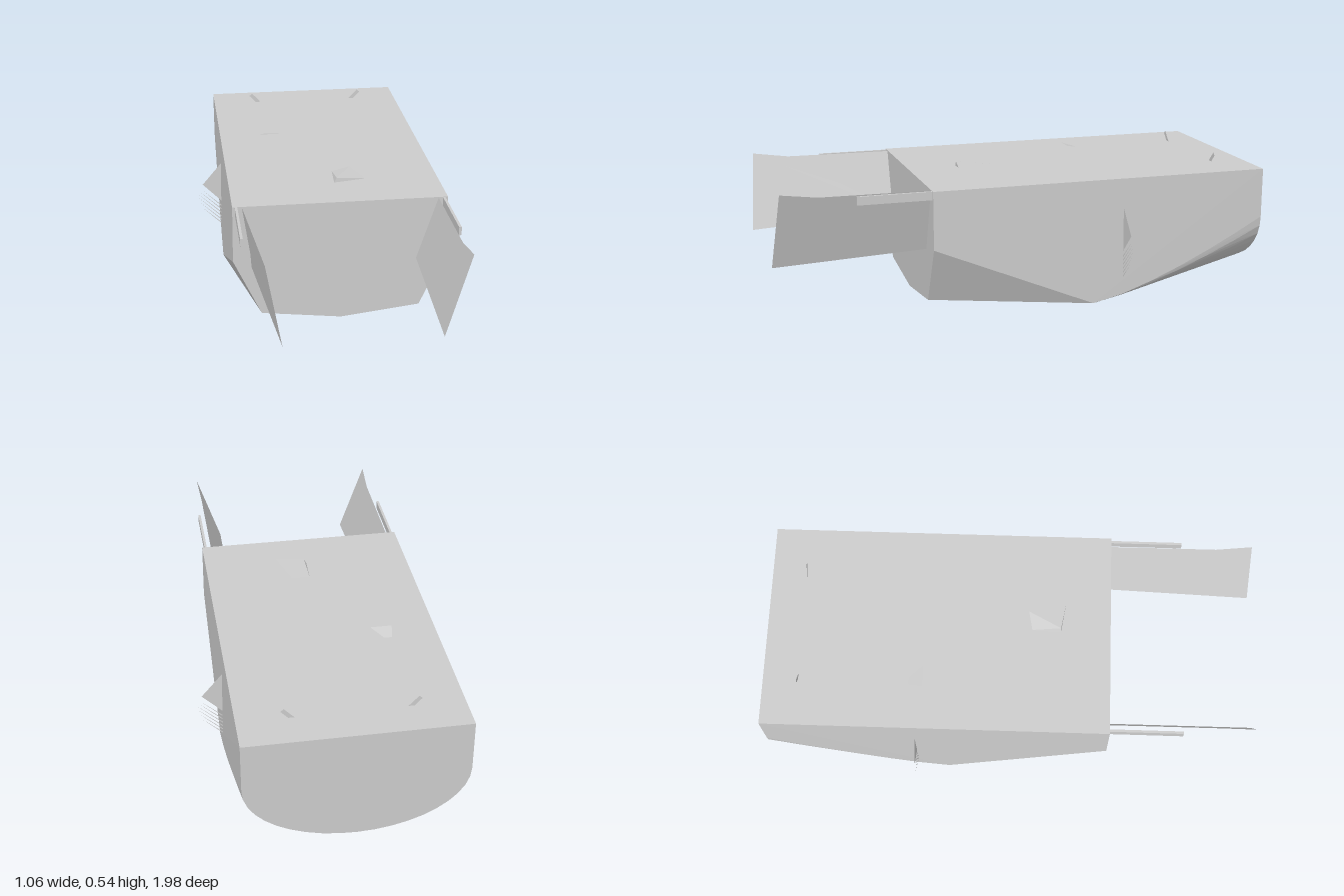
import * as THREE from 'three';
import { ConvexGeometry } from 'three/addons/geometries/ConvexGeometry.js';

const V = (x, y, z) => new THREE.Vector3(x, y, z);

// Flat polygon through a loop of 3D points, drawn as a fan
function plateGeometry(points) {
  const geo = new THREE.BufferGeometry().setFromPoints(points);
  const index = [];
  for (let i = 1; i < points.length - 1; i++) index.push(0, i, i + 1);
  geo.setIndex(index);
  geo.computeVertexNormals();
  return geo;
}

export function createModel() {
  const model = new THREE.Group();
  const grey = new THREE.MeshStandardMaterial({ color: 0xcccccc, side: THREE.DoubleSide });
  grey.name = 'hull grey';
  const add = (name, geo) => {
    const mesh = new THREE.Mesh(geo, grey);
    mesh.name = name;
    model.add(mesh);
    return mesh;
  };

  // Hull: faceted bow, then a round-bottomed section growing toward the stern
  const pts = [V(0, 0.003, 0.4)];
  for (const s of [-1, 1]) {
    pts.push(V(s * 0.42, 0.5, 0.4), V(s * 0.423, 0.27, 0.4), V(s * 0.315, 0.04, 0.4));
    pts.push(V(s * 0.42, 0.5, -0.98), V(s * 0.43, 0, -0.25));
  }
  for (let i = 1; i <= 6; i++) {
    const t = i / 6;
    const side = 0.3 * Math.pow(t, 1.35), keel = 0.05 * t * t;
    for (let k = 0; k <= 20; k++) {
      const a = (Math.PI * k) / 20;
      pts.push(V((0.43 - 0.01 * t) * Math.cos(a), side - (side - keel) * Math.sin(a), -0.25 - 0.73 * t));
    }
  }
  add('hull', new ConvexGeometry(pts));

  for (const s of [-1, 1]) {
    const label = s > 0 ? 'left' : 'right';

    // Leaning forward blades and the narrow rails beside them
    add(label + 'ForwardBlade', plateGeometry([
      V(s * 0.3, 0.245, 0.38), V(s * 0.29, 0.215, 1), V(s * 0.39, 0.52, 0.975),
      V(s * 0.383, 0.5, 0.83), V(s * 0.383, 0.497, 0.38),
    ]));
    const rail = add(label + 'Rail', new THREE.BoxGeometry(0.01, 0.033, 0.31));
    rail.position.set(s * 0.405, 0.482, 0.535);

    // Side winglet with a stack of thin slats under it
    add(label + 'Winglet', plateGeometry([
      V(s * 0.42, 0.385, -0.375), V(s * 0.505, 0.285, -0.375), V(s * 0.42, 0.2, -0.375),
    ]));
    for (let i = 0; i < 6; i++) {
      const y = 0.185 - i * 0.017, out = 0.51 + 0.02 * Math.sin((i / 5) * Math.PI);
      const rise = (out - 0.425) * 0.9;
      add(label + 'Slat', plateGeometry([
        V(s * 0.425, y, -0.375), V(s * out, y + rise, -0.375), V(s * 0.425, y - 0.006, -0.375),
      ]));
    }

    // Slanted stern tabs
    add(label + 'SternTab', plateGeometry([
      V(s * 0.205, 0.498, -0.84), V(s * 0.246, 0.541, -0.84),
      V(s * 0.258, 0.53, -0.84), V(s * 0.228, 0.498, -0.84),
    ]));
  }

  // Flat deck panels: [x0, x1] at the far edge, [x0, x1] at the near edge, z range
  const panels = [
    [-0.1, -0.01, -0.13, -0.002, 0.08, 0.22],
    [-0.125, -0.01, -0.1, -0.045, -0.37, -0.34],
    [0.03, 0.11, 0.008, 0.115, -0.37, -0.34],
    [-0.11, -0.025, -0.105, -0.035, -0.247, -0.216],
    [0.015, 0.122, 0.002, 0.108, -0.247, -0.216],
    [0.165, 0.24, 0.15, 0.225, -0.247, -0.216],
  ];
  for (const [a, b, c, d, z0, z1] of panels) {
    const y = 0.503;
    add('deckPanel', plateGeometry([V(a, y, z0), V(c, y, z1), V(d, y, z1), V(b, y, z0)]));
  }

  // Raised deck flaps
  add('deckFlap', new ConvexGeometry([
    V(0, 0.5, 0.2), V(0.01, 0.52, 0.2), V(0.125, 0.52, 0.22),
    V(0.08, 0.516, 0.07), V(0.005, 0.504, 0.085),
  ]));
  add('rearDeckFlap', plateGeometry([
    V(-0.24, 0.501, -0.4), V(-0.25, 0.518, -0.345), V(-0.165, 0.518, -0.345), V(-0.21, 0.501, -0.4),
  ]));

  // Small triangle on the stern face
  add('sternPlate', plateGeometry([
    V(-0.15, 0.13, -0.983), V(-0.23, 0.135, -0.983), V(-0.18, 0.095, -0.983),
  ]));
  return model;
}
